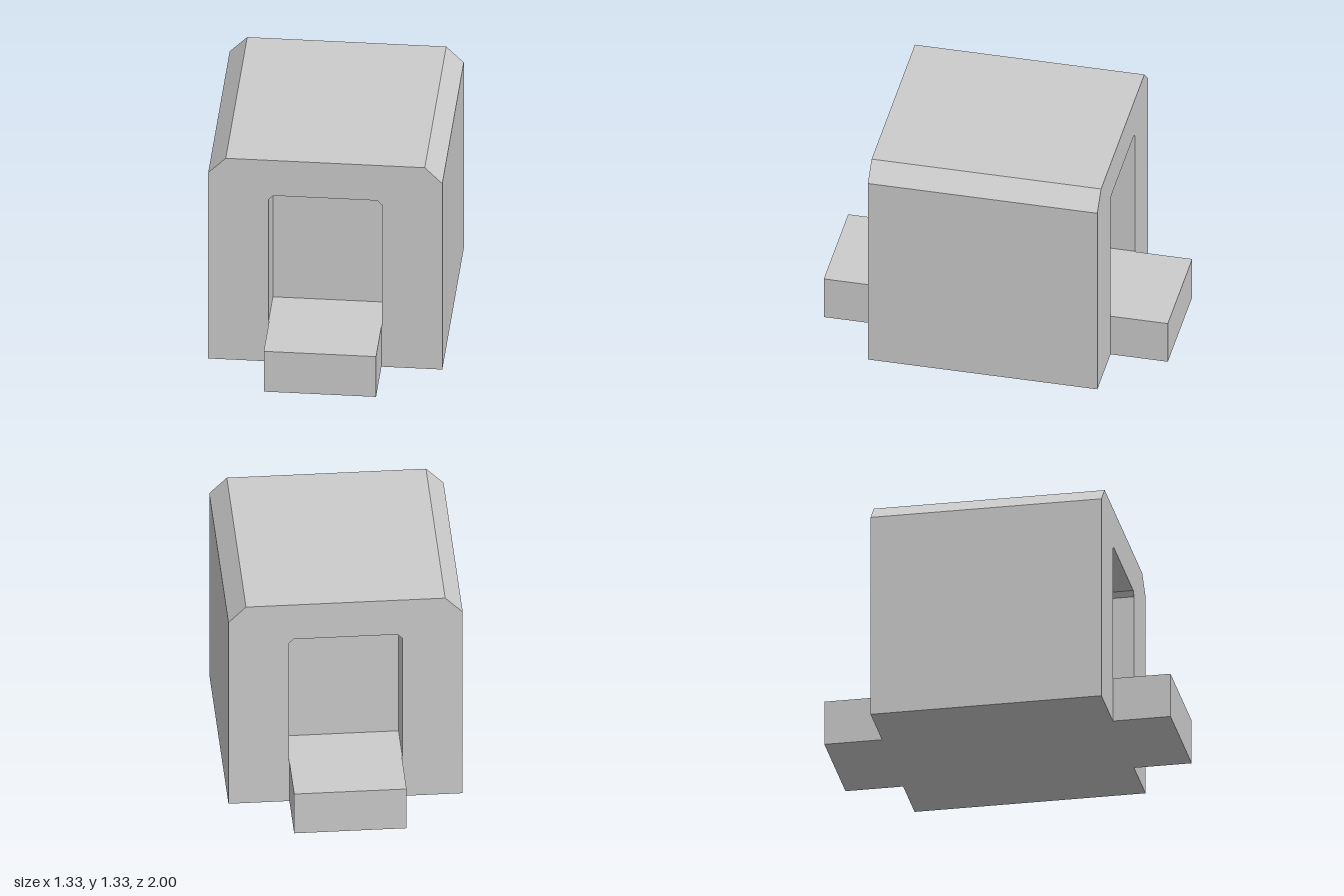
import * as THREE from 'three';

const HALF = 0.667;      // half width and half depth of the body
const HEIGHT = 1.333;
const RECESS = 0.267;    // doorway depth
const SILL = 0.267;      // step and doorway floor height

// Upright rectangle with its two top corners cut at 45 degrees
function chamferedPoints(halfWidth, bottom, top, cut) {
  return [
    [-halfWidth, bottom], [halfWidth, bottom],
    [halfWidth, top - cut], [halfWidth - cut, top],
    [-halfWidth + cut, top], [-halfWidth, top - cut],
  ].map(([x, y]) => new THREE.Vector2(x, y));
}

export function createModel() {
  const group = new THREE.Group();
  const grey = new THREE.MeshStandardMaterial({ color: 0xcccccc });
  grey.name = 'light grey';

  const add = (name, geometry, z) => {
    const mesh = new THREE.Mesh(geometry, grey);
    mesh.name = name;
    mesh.position.z = z;
    group.add(mesh);
  };
  const extrude = (shape, depth) =>
    new THREE.ExtrudeGeometry(shape, { depth, bevelEnabled: false });

  // Solid middle, whose ends form the back walls of the doorways
  const outline = chamferedPoints(HALF, 0, HEIGHT, 0.1);
  const inner = HALF - RECESS;
  add('bodyCore', extrude(new THREE.Shape(outline), inner * 2), -inner);

  // End walls with a doorway opening
  const wall = new THREE.Shape(outline);
  wall.holes.push(new THREE.Path(chamferedPoints(0.323, SILL, 1.1, 0.027)));
  add('frontWall', extrude(wall, RECESS), inner);
  add('backWall', extrude(wall, RECESS), -HALF);

  // Doorsteps
  const stepDepth = 1 - HALF;
  for (const [name, side] of [['frontStep', 1], ['backStep', -1]]) {
    const step = new THREE.BoxGeometry(0.64, SILL, stepDepth);
    step.translate(0, SILL / 2, 0);
    add(name, step, side * (HALF + stepDepth / 2));
  }

  return group;
}
